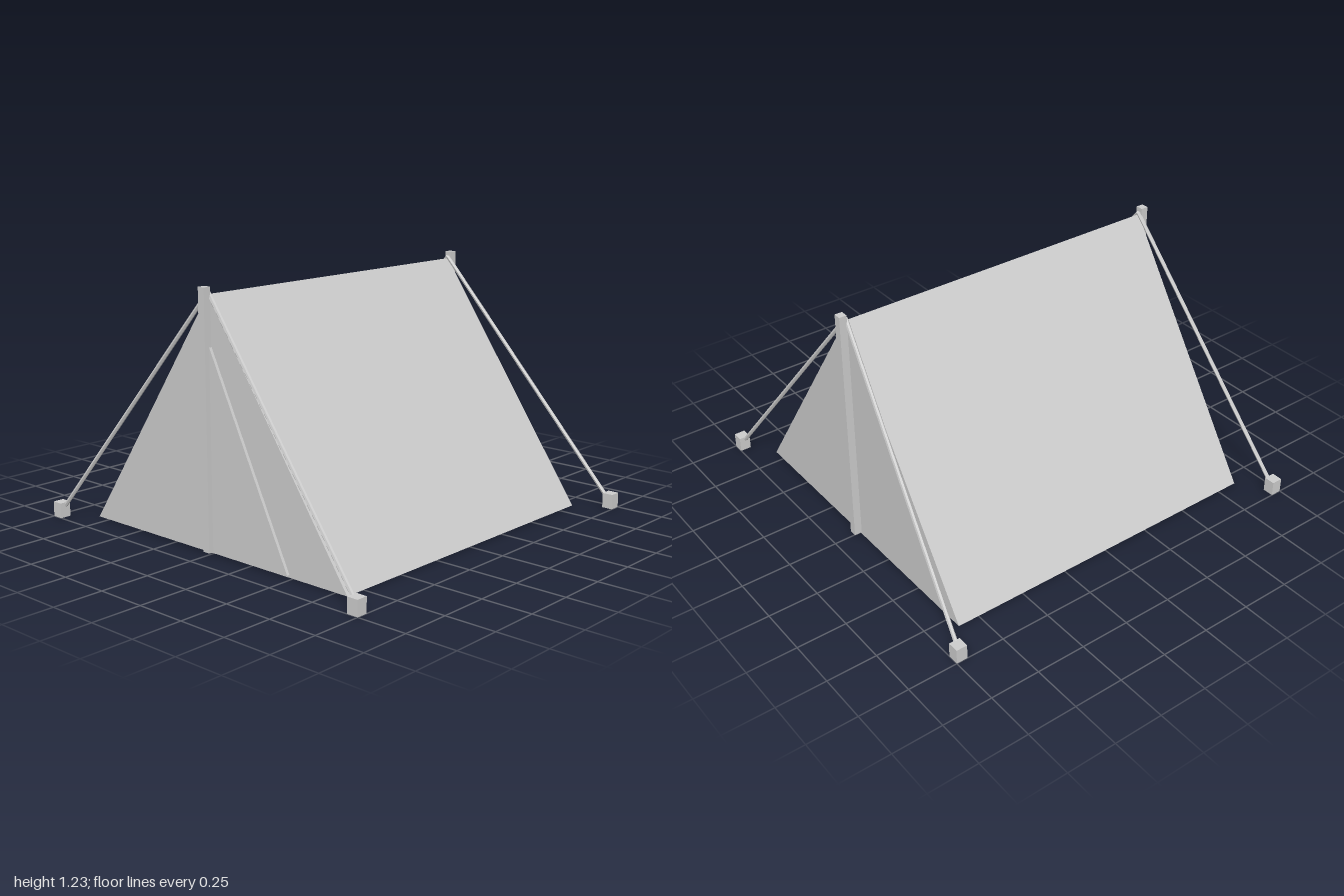
import * as THREE from 'three';

export function createModel() {
  const tent = new THREE.Group();
  tent.name = 'tent';
  const grey = new THREE.MeshStandardMaterial({ color: 0xcccccc, flatShading: true });
  grey.name = 'plain grey';

  const add = (name, geometry, x = 0, y = 0, z = 0) => {
    const mesh = new THREE.Mesh(geometry, grey);
    mesh.name = name;
    mesh.position.set(x, y, z);
    tent.add(mesh);
    return mesh;
  };

  // Upright triangle extruded along z
  const prism = (halfWidth, bottom, top, depth) => {
    const shape = new THREE.Shape([
      new THREE.Vector2(-halfWidth, bottom),
      new THREE.Vector2(halfWidth, bottom),
      new THREE.Vector2(0, top),
    ]);
    return new THREE.ExtrudeGeometry(shape, { depth, bevelEnabled: false });
  };

  // Closed canvas body and the door flap on the front
  add('canvas', prism(0.82, 0.003, 1.195, 1.72), 0, 0, -0.86);
  add('doorFlap', prism(0.485, 0.016, 1.0, 0.015), 0, 0, 0.86);

  const up = new THREE.Vector3(0, 1, 0);
  for (const end of [1, -1]) {
    const endName = end > 0 ? 'front' : 'back';

    // Upright pole just outside each gable
    add(endName + 'Pole', new THREE.BoxGeometry(0.038, 1.215, 0.038), 0, 0.6225, end * 0.881);

    for (const side of [1, -1]) {
      const name = endName + (side > 0 ? 'Left' : 'Right');

      // Ground peg
      add(name + 'Peg', new THREE.BoxGeometry(0.056, 0.075, 0.056), side * 0.972, 0.0375, end * 0.972);

      // Guy rope from the ridge down to the peg
      const from = new THREE.Vector3(0, 1.205, end * 0.857);
      const to = new THREE.Vector3(side * 0.965, 0.04, end * 0.967);
      const direction = to.clone().sub(from);
      const rope = add(name + 'Rope', new THREE.CylinderGeometry(0.01, 0.01, direction.length(), 6));
      rope.position.copy(from).add(to).multiplyScalar(0.5);
      rope.quaternion.setFromUnitVectors(up, direction.normalize());
    }
  }
  return tent;
}
